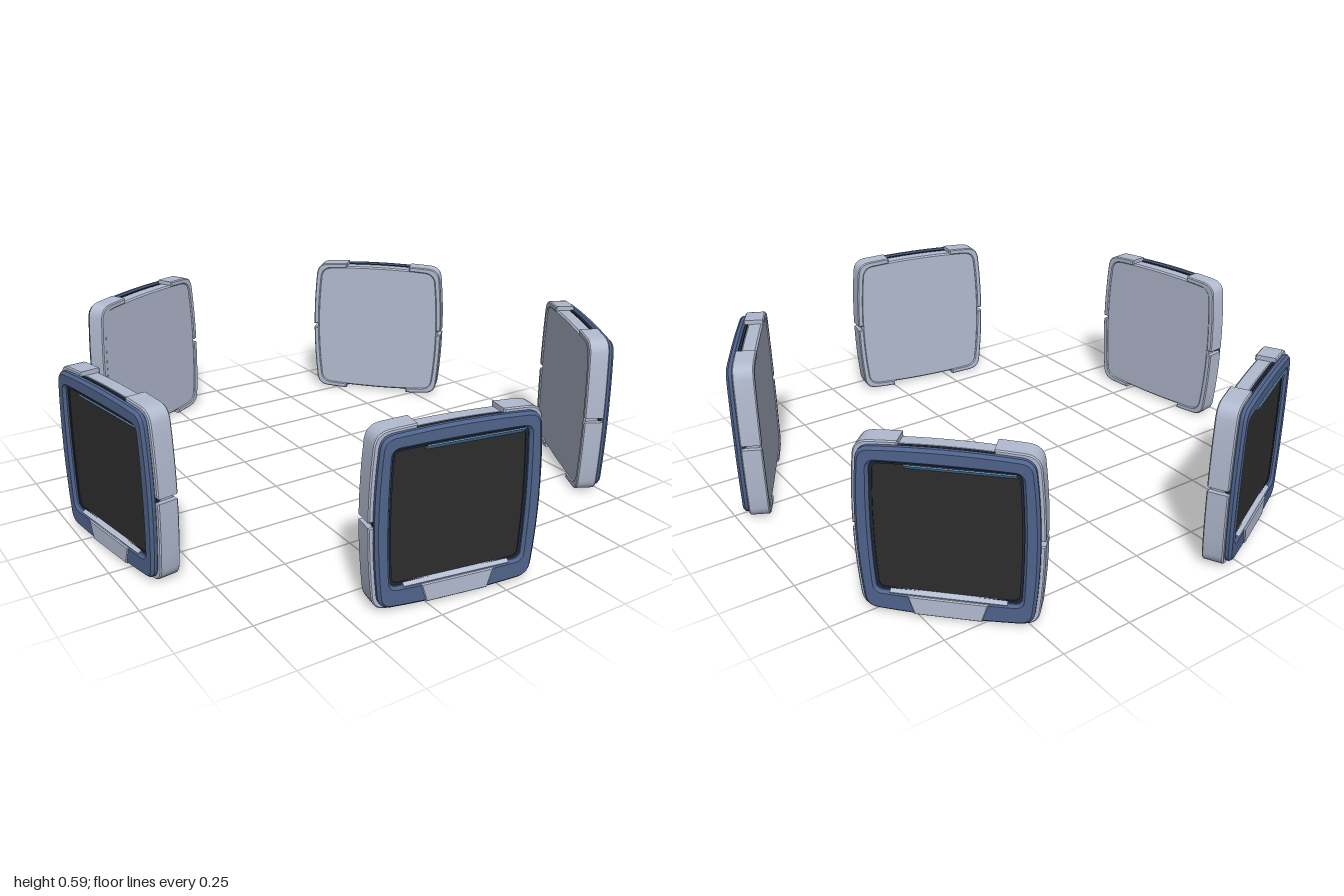
import * as THREE from 'three';
import { toCreasedNormals } from 'three/addons/utils/BufferGeometryUtils.js';

const mat = (name, color, extra = {}) => {
  const m = new THREE.MeshStandardMaterial({ color, ...extra });
  m.name = name;
  return m;
};

// Quarter of a barrel-sided rounded square, from the side (y = y0) to the top (x = x0)
function quarter(w, h, bx, by, r, y0 = 0, x0 = 0) {
  const side = y => new THREE.Vector2(w - bx * (y / h) ** 2, y);
  const top = x => new THREE.Vector2(x, h - by * (x / w) ** 2);
  const a = side(h - by - r), b = top(w - bx - r);
  const corner = new THREE.QuadraticBezierCurve(a, new THREE.Vector2(w - bx, h - by), b);
  const pts = [];
  for (let i = 0; i < 4; i++) pts.push(side(y0 + (a.y - y0) * i / 4));
  pts.push(...corner.getPoints(5));
  for (let i = 1; i <= 4; i++) pts.push(top(b.x + (x0 - b.x) * i / 4));
  return pts;
}

// Whole closed outline, mirrored from the quarter
function outline(w, h, bx, by, r, dy = 0) {
  const q = quarter(w, h, bx, by, r);
  const half = [...q, ...q.slice(0, -1).reverse().map(p => new THREE.Vector2(-p.x, p.y))];
  const low = half.slice(1, -1).reverse().map(p => new THREE.Vector2(p.x, -p.y));
  return [...half, ...low].map(p => new THREE.Vector2(p.x, p.y + dy));
}

// Extrude between two depths with an optional bevel kept inside the outline
function slab(points, z0, z1, bevel = 0, hole = null) {
  const shape = new THREE.Shape(points);
  if (hole) shape.holes.push(new THREE.Path(hole));
  const g = new THREE.ExtrudeGeometry(shape, {
    depth: z1 - z0 - 2 * bevel, bevelEnabled: bevel > 0, bevelSegments: 1,
    bevelSize: bevel, bevelThickness: bevel, bevelOffset: -bevel,
  });
  g.translate(0, 0, z0 + bevel);
  return toCreasedNormals(g, 0.5);
}

export function createModel() {
  const shell = mat('pale shell', 0xb2bbd0);
  const blue = mat('blue frame', 0x4f638b);
  const dark = mat('dark seam', 0x1f2838);
  const glass = mat('black screen', 0x2d2d2d);
  const light = mat('light blue strip', 0x74aede);

  const BACK = 0.872, FRONT = 0.966, MID = 0.295;
  const parts = [];
  const add = (name, geo, material) => parts.push([name, geo, material]);

  // Body layers from back to front
  add('backShell', slab(outline(0.273, 0.283, 0.02, 0.012, 0.035), BACK + 0.004, 0.93, 0.006), shell);
  add('seam', slab(outline(0.274, 0.284, 0.02, 0.012, 0.035), 0.929, 0.938), dark);
  const opening = outline(0.23, 0.225, 0.008, 0.004, 0.02, 0.01);
  add('frame', slab(outline(0.277, 0.288, 0.02, 0.012, 0.035), 0.937, FRONT, 0.009, opening), blue);
  add('screen', slab(outline(0.232, 0.227, 0.008, 0.004, 0.02, 0.01), 0.936, 0.949), glass);

  // Thin dark border between frame and screen
  add('screenBorder', slab(outline(0.231, 0.226, 0.008, 0.004, 0.02, 0.01), 0.948, 0.952, 0,
    outline(0.222, 0.217, 0.008, 0.004, 0.02, 0.01)), dark);

  // Slanted highlight under the upper edge, pale lip along the lower edge
  const strip = new THREE.BoxGeometry(0.325, 0.024, 0.004);
  strip.rotateX(Math.PI / 4).translate(0.045, 0.224, 0.957);
  add('upperStrip', strip, light);
  const lip = new THREE.BoxGeometry(0.36, 0.018, 0.004);
  lip.rotateX(-Math.PI / 3).translate(0, -0.211, 0.956);
  add('lowerLip', lip, shell);

  // Tapered tab on the lower part of the frame
  const tab = [[-0.105, -0.284], [0.105, -0.284], [0.125, -0.219], [-0.125, -0.219]]
    .map(p => new THREE.Vector2(...p));
  add('lowerTab', slab(tab, 0.944, 0.969, 0.004), shell);

  // Four corner guards with gaps between them
  for (const sx of [1, -1]) for (const sy of [1, -1]) {
    const outer = quarter(0.29, 0.298, 0.02, 0.012, 0.04, 0.008, 0.14);
    const inner = quarter(0.268, 0.277, 0.02, 0.012, 0.034, 0.008, 0.14).reverse();
    const pts = [...outer, ...inner].map(p => new THREE.Vector2(p.x * sx, p.y * sy));
    add('cornerGuard', slab(pts, BACK, 0.944, 0.004), shell);
  }

  // Five identical panels in a ring, facing outward
  const model = new THREE.Group();
  model.name = 'panelRing';
  for (let i = 0; i < 5; i++) {
    const panel = new THREE.Group();
    panel.name = 'panel' + (i + 1);
    for (const [name, geo, material] of parts) {
      const mesh = new THREE.Mesh(geo, material);
      mesh.name = name;
      panel.add(mesh);
    }
    panel.position.set(0.004, MID, -0.004);
    panel.rotation.y = THREE.MathUtils.degToRad(-9.5 + 72 * i);
    model.add(panel);
  }
  return model;
}
